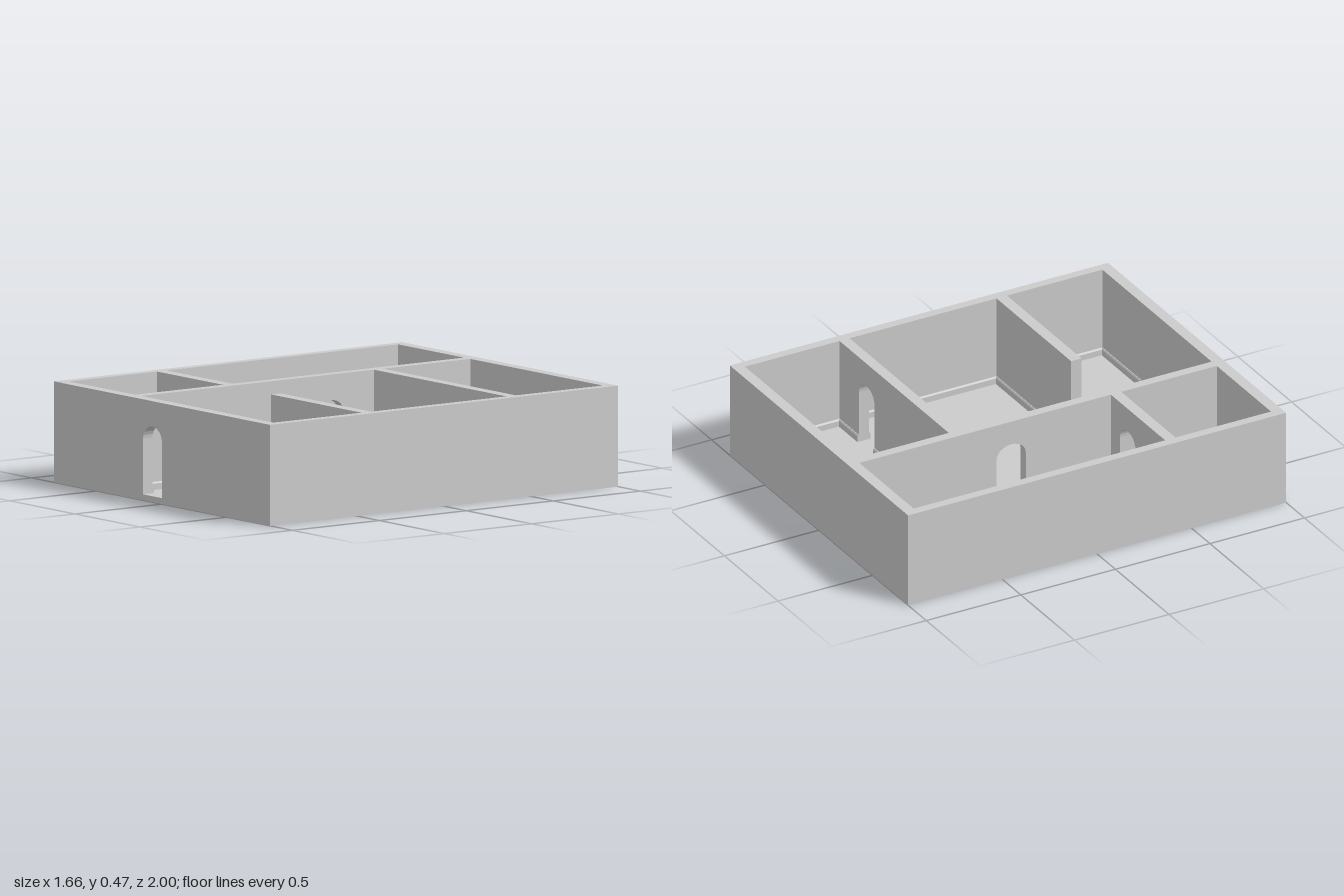
import * as THREE from 'three';

const H = 0.47, F = 0.028;            // wall top and floor level
const SPRING = 0.288, RISE = 0.064;   // door arch
const SKIRT = 0.008;

// Room outlines as [x, z] corners
const rect = (x0, z0, x1, z1) => [[x0, z0], [x1, z0], [x1, z1], [x0, z1]];
const ROOMS = {
  longRoom: rect(-0.785, -0.945, -0.28, 0.385),
  smallRoom: rect(-0.785, 0.44, -0.28, 0.945),
  backRoom: rect(-0.232, -0.945, 0.785, -0.445),
  mainRoom: [[-0.232, -0.392], [0.785, -0.392], [0.785, 0.385], [0.09, 0.385],
    [0.09, 0.44], [0.785, 0.44], [0.785, 0.945], [-0.232, 0.945]],
};
const OUTER = rect(-0.83, -1, 0.83, 1);

// Doors: the axis the wall runs along, its two faces, and the opening's range
const DOORS = [
  { name: 'frontDoor', axis: 0, faces: [0.945, 1], from: -0.145, to: 0 },
  { name: 'backRoomDoor', axis: 0, faces: [-0.445, -0.392], from: 0.46, to: 0.605 },
  { name: 'smallRoomDoor', axis: 0, faces: [0.385, 0.44], from: -0.51, to: -0.365 },
  { name: 'longRoomDoor', axis: 1, faces: [-0.28, -0.232], from: -0.22, to: -0.065 },
];

const material = new THREE.MeshStandardMaterial({ color: 0xcccccc, side: THREE.DoubleSide });

function addMesh(parent, name, geometry) {
  const mesh = new THREE.Mesh(geometry, material);
  mesh.name = name;
  parent.add(mesh);
  return mesh;
}

// Arched door outline between u0 and u1
function archPoints(u0, u1) {
  const pts = [new THREE.Vector2(u0, F)];
  const c = (u0 + u1) / 2, r = (u1 - u0) / 2;
  for (let i = 0; i <= 12; i++) {
    const a = Math.PI * (1 - i / 12);
    pts.push(new THREE.Vector2(c + r * Math.cos(a), SPRING + RISE * Math.sin(a)));
  }
  pts.push(new THREE.Vector2(u1, F));
  return pts;
}

// Openings along the edge a-b, as sorted distances from a
function openings(a, b) {
  const axis = a[1] === b[1] ? 0 : 1;
  const lo = Math.min(a[axis], b[axis]), hi = Math.max(a[axis], b[axis]);
  return DOORS
    .filter(d => d.axis === axis && d.faces.includes(a[1 - axis]) && d.from > lo && d.to < hi)
    .map(d => [Math.abs(d.from - a[axis]), Math.abs(d.to - a[axis])].sort((p, q) => p - q))
    .sort((p, q) => p[0] - q[0]);
}

// Moves a geometry drawn along +x onto the edge a-b
function place(geometry, a, b) {
  return geometry
    .rotateY(Math.atan2(-(b[1] - a[1]), b[0] - a[0]))
    .translate(a[0], 0, a[1]);
}

const edgeLength = (a, b) => Math.hypot(b[0] - a[0], b[1] - a[1]);

// One wall face with its door openings
function wallFace(a, b, bottom) {
  const L = edgeLength(a, b), doors = openings(a, b);
  const pts = [new THREE.Vector2(0, bottom)];
  if (bottom === F) doors.forEach(d => pts.push(...archPoints(...d)));
  pts.push(new THREE.Vector2(L, bottom), new THREE.Vector2(L, H), new THREE.Vector2(0, H));
  const shape = new THREE.Shape(pts);
  if (bottom < F) shape.holes = doors.map(d => new THREE.Path(archPoints(...d)));
  return place(new THREE.ShapeGeometry(shape), a, b);
}

// Skirting board from u0 to u1 along an edge
function skirting(a, b, u0, u1) {
  const profile = new THREE.Shape([[0, F], [SKIRT, F], [SKIRT, 0.057], [0.003, 0.064], [0, 0.064]]
    .map(p => new THREE.Vector2(...p)));
  const g = new THREE.ExtrudeGeometry(profile, { depth: u1 - u0, bevelEnabled: false });
  g.rotateY(-Math.PI / 2).rotateY(Math.PI).translate(0, 0, 0);
  // profile now points along -z to +z of the wall, with its length along x
  g.computeBoundingBox();
  const bb = g.boundingBox;
  if (bb.max.z < SKIRT / 2) g.rotateY(Math.PI);
  g.computeBoundingBox();
  g.translate(u0 - g.boundingBox.min.x, 0, 0);
  return place(g, a, b);
}

// Horizontal surface from [x, z] corners, facing up
function slab(outline, y, holes = []) {
  const flip = pts => pts.map(p => new THREE.Vector2(p[0], -p[1]));
  const shape = new THREE.Shape(flip(outline));
  shape.holes = holes.map(h => new THREE.Path(flip(h)));
  return new THREE.ShapeGeometry(shape).rotateX(-Math.PI / 2).translate(0, y, 0);
}

// Jambs, arch and threshold joining the two faces of a wall
function doorReveal({ axis, faces, from, to }) {
  const pts = archPoints(from, to), pos = [];
  const at = (p, w) => (axis === 0 ? [p.x, p.y, w] : [w, p.y, p.x]);
  pts.forEach((p, i) => {
    const q = pts[(i + 1) % pts.length];
    const [A, B, C, D] = [at(p, faces[0]), at(q, faces[0]), at(q, faces[1]), at(p, faces[1])];
    if (axis === 0) pos.push(...A, ...B, ...C, ...A, ...C, ...D);
    else pos.push(...A, ...C, ...B, ...A, ...D, ...C);
  });
  const g = new THREE.BufferGeometry();
  g.setAttribute('position', new THREE.Float32BufferAttribute(pos, 3));
  g.computeVertexNormals();
  return g;
}

export function createModel() {
  const model = new THREE.Group();
  model.name = 'floorPlan';

  // Outer walls, walked the other way round so they face outwards
  const outside = [...OUTER].reverse();
  outside.forEach((a, i) => addMesh(model, 'outerWall', wallFace(a, outside[(i + 1) % 4], 0)));

  // Flat top of all walls
  addMesh(model, 'wallTop', slab(OUTER, H, Object.values(ROOMS)));

  // Rooms: floor, inner wall faces and skirting
  for (const [name, outline] of Object.entries(ROOMS)) {
    const room = new THREE.Group();
    room.name = name;
    model.add(room);
    addMesh(room, 'floor', slab(outline, F));
    const n = outline.length;
    outline.forEach((a, i) => {
      const b = outline[(i + 1) % n];
      addMesh(room, 'innerWall', wallFace(a, b, F));
      // the free end of the partition wraps its skirting round both corners
      const wrap = a[0] === 0.09 && b[0] === 0.09 ? SKIRT : 0;
      const stops = [-wrap, ...openings(a, b).flat(), edgeLength(a, b) + wrap];
      for (let k = 0; k < stops.length; k += 2) {
        addMesh(room, 'skirting', skirting(a, b, stops[k], stops[k + 1]));
      }
    });
  }

  // Door linings
  DOORS.forEach(d => addMesh(model, d.name, doorReveal(d)));
  return model;
}
